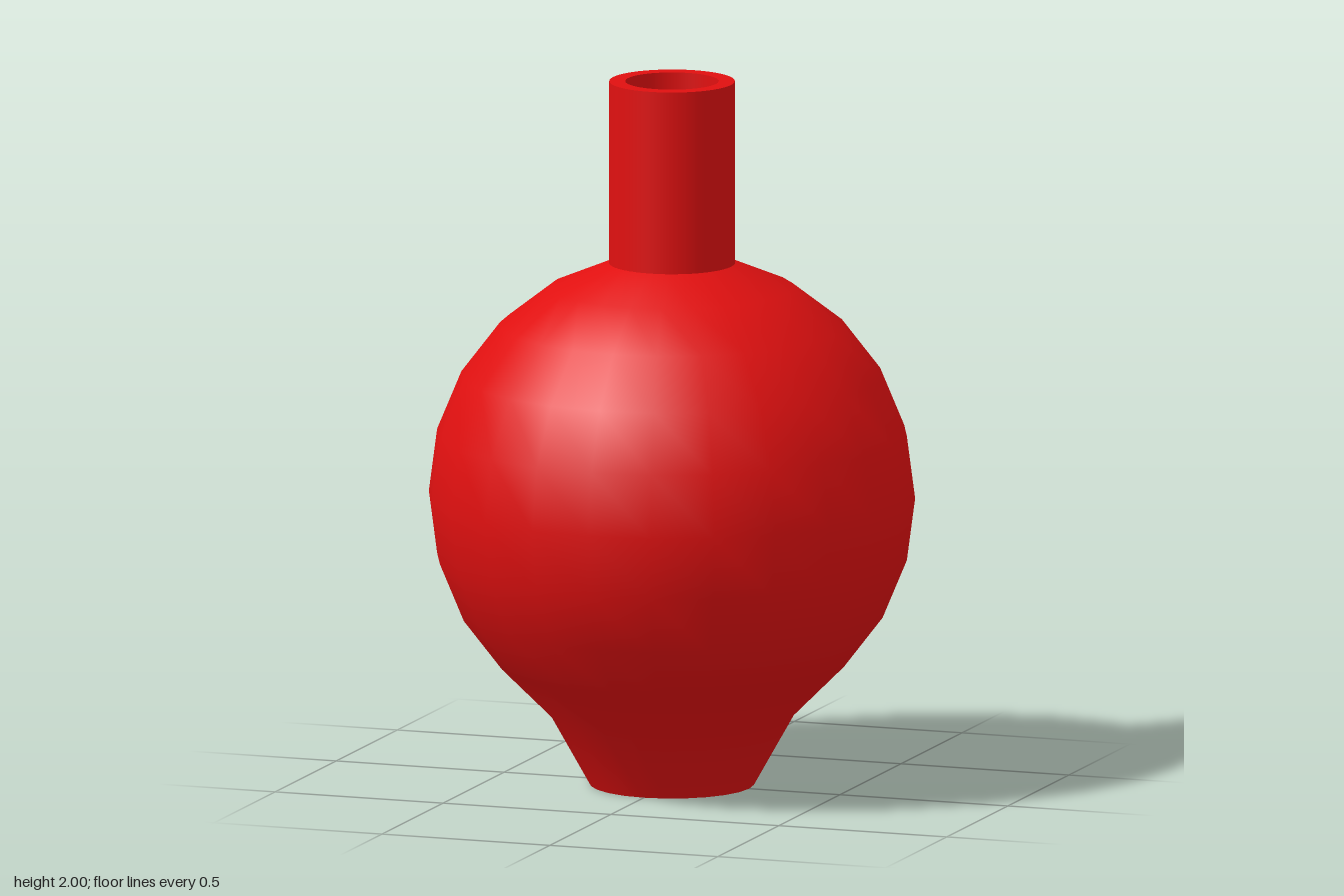
import * as THREE from 'three';

export function createModel() {
  const model = new THREE.Group();
  const red = new THREE.MeshStandardMaterial({ color: 0xe01010 });
  red.name = 'red';

  // Revolve one smooth run of the profile; separate runs keep edges sharp
  const turn = (name, points, segments) => {
    const profile = points.map(([r, y]) => new THREE.Vector2(r, y));
    const mesh = new THREE.Mesh(new THREE.LatheGeometry(profile, segments), red);
    mesh.name = name;
    model.add(mesh);
  };

  // Round bulb: 15 degree steps of a sphere, running down into a tapered foot
  const R = 0.683, centreY = 0.823;
  const bulb = [[0.23, 0], [0.342, 0.2]];
  for (let deg = -45; deg <= 75; deg += 15) {
    const a = THREE.MathUtils.degToRad(deg);
    bulb.push([R * Math.cos(a), centreY + R * Math.sin(a)]);
  }
  turn('bulb', bulb, 24);

  // Underside with a shallow socket
  turn('socketCeiling', [[0, 0.1], [0.112, 0.1]], 24);
  turn('socketWall', [[0.112, 0.1], [0.112, 0]], 24);
  turn('footBase', [[0.112, 0], [0.23, 0]], 24);

  // Hollow neck
  turn('neckOuter', [[0.176, 1.475], [0.176, 2]], 48);
  turn('neckRim', [[0.176, 2], [0.131, 2]], 48);
  turn('neckInner', [[0.131, 2], [0.131, 1.48]], 48);
  turn('neckFloor', [[0.131, 1.48], [0, 1.48]], 48);

  return model;
}
